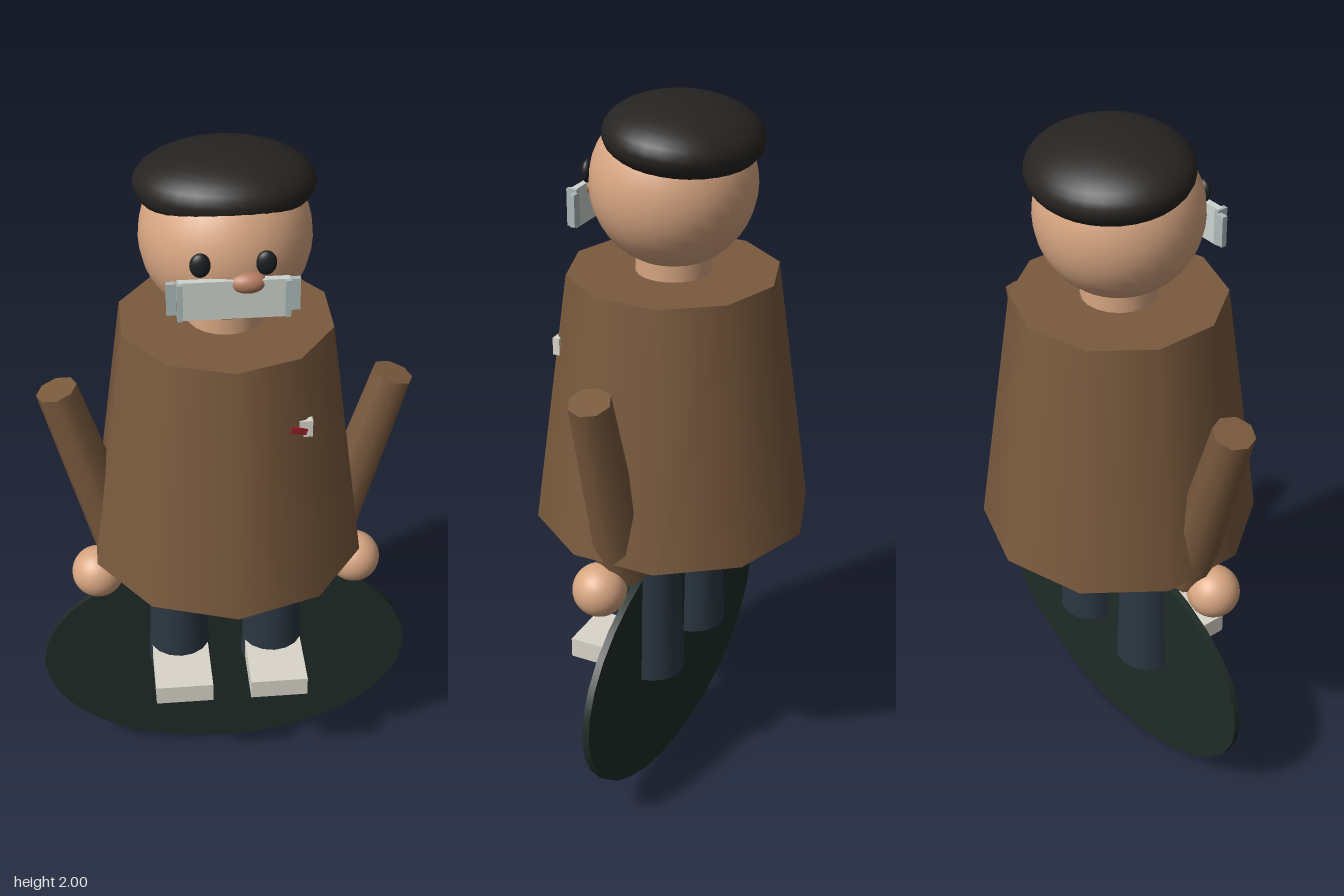
import * as THREE from 'three';

const mat = (color) => new THREE.MeshStandardMaterial({ color });

export function createModel() {
  const model = new THREE.Group();
  const brown = mat(0x7a5a3e), skin = mat(0xd8a682), navy = mat(0x2c3742), cream = mat(0xdad6cb);
  const black = mat(0x262422), eyeDark = mat(0x1c1f22), noseTone = mat(0xb57c60);
  const plate = mat(0xcdd4ce), frame = mat(0xaebbba), green = mat(0x1f2b27), red = mat(0xa02028);

  const add = (name, geometry, material, x, y, z) => {
    const mesh = new THREE.Mesh(geometry, material);
    mesh.name = name;
    mesh.position.set(x, y, z);
    model.add(mesh);
    return mesh;
  };
  const box = (name, m, w, h, d, x, y, z) => add(name, new THREE.BoxGeometry(w, h, d), m, x, y, z);
  const cyl = (name, m, rt, rb, h, n, x, y, z) =>
    add(name, new THREE.CylinderGeometry(rt, rb, h, n), m, x, y, z);
  const ball = (name, m, rx, ry, rz, x, y, z) => {
    const mesh = add(name, new THREE.SphereGeometry(1, 32, 20), m, x, y, z);
    mesh.scale.set(rx, ry, rz);
    return mesh;
  };

  // Upright oval disc behind the legs
  const disc = cyl('disc', green, 1, 1, 0.02, 32, 0, 0.36, 0);
  disc.rotation.x = Math.PI / 2;
  disc.scale.set(0.543, 1, 0.358);

  // Coat and neck
  cyl('coat', brown, 0.287, 0.387, 0.715, 10, 0, 1.178, 0);
  cyl('neck', skin, 0.102, 0.102, 0.12, 20, 0, 1.56, 0);

  // Mirrored limbs, eyes and end pieces of the face plate
  for (const [side, s] of [['left', 1], ['right', -1]]) {
    cyl(side + 'Leg', navy, 0.075, 0.093, 0.5, 16, s * 0.138, 0.61, 0);
    box(side + 'Shoe', cream, 0.165, 0.06, 0.23, s * 0.138, 0.396, 0.107);
    const arm = cyl(side + 'Arm', brown, 0.057, 0.072, 0.6, 8, s * 0.367, 1.048, 0.012);
    arm.rotation.z = -s * 0.28;
    ball(side + 'Hand', skin, 0.074, 0.074, 0.074, s * 0.368, 0.732, 0.042);
    ball(side + 'Eye', eyeDark, 0.026, 0.032, 0.016, s * 0.08, 1.797, 0.206);
    box(side + 'PlateTab', frame, 0.024, 0.086, 0.015, s * 0.152, 1.712, 0.21);
    box(side + 'PlateStrip', frame, 0.014, 0.1, 0.03, s * 0.132, 1.712, 0.224);
  }

  // Head, nose and beret
  ball('head', skin, 0.22, 0.22, 0.22, 0, 1.775, 0);
  ball('nose', noseTone, 0.047, 0.028, 0.03, 0.035, 1.75, 0.212);
  const beret = ball('beret', black, 0.23, 0.097, 0.206, 0, 1.903, -0.03);
  beret.rotation.x = -0.1;

  // Face plate
  box('facePlate', plate, 0.27, 0.104, 0.018, 0, 1.711, 0.22);

  // Chest badge
  box('badge', cream, 0.035, 0.048, 0.02, 0.183, 1.34, 0.25);
  const mark = box('badgeMark', red, 0.045, 0.018, 0.016, 0.163, 1.338, 0.258);
  mark.rotation.set(0, 0.25, -0.3);

  return model;
}
